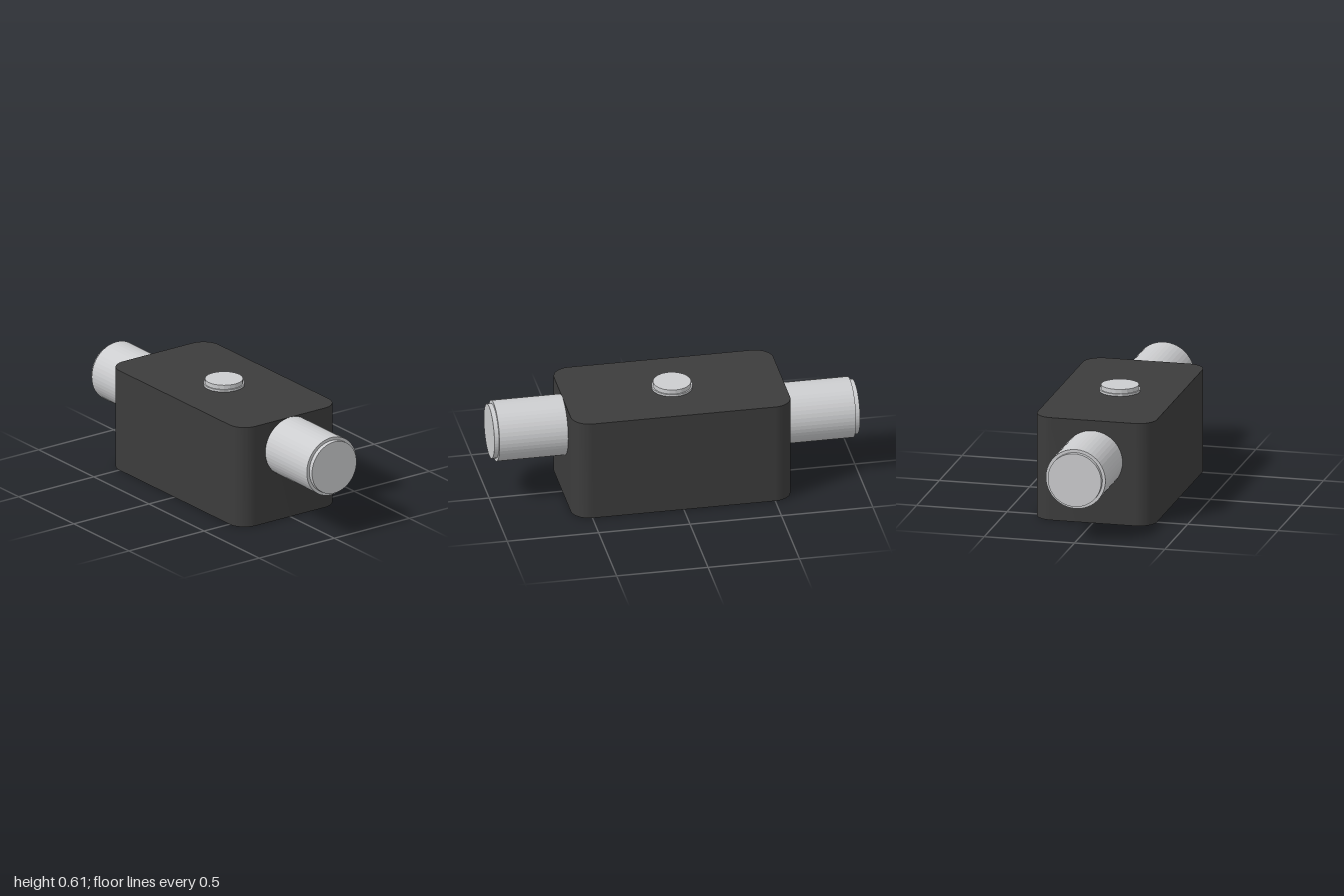
import * as THREE from 'three';
import { toCreasedNormals } from 'three/addons/utils/BufferGeometryUtils.js';

export function createModel() {
  const model = new THREE.Group();
  const dark = new THREE.MeshStandardMaterial({ color: 0x3c3c3c });
  dark.name = 'darkGrey';
  const silver = new THREE.MeshStandardMaterial({ color: 0xcccdcf, flatShading: true });
  silver.name = 'silver';

  // Housing: rounded rectangle footprint, extruded upward
  const W = 0.6, D = 0.33, R = 0.1, H = 0.572;
  const outline = new THREE.Shape();
  outline.absarc(W - R, D - R, R, 0, Math.PI / 2);
  outline.absarc(-W + R, D - R, R, Math.PI / 2, Math.PI);
  outline.absarc(-W + R, -D + R, R, Math.PI, Math.PI * 1.5);
  outline.absarc(W - R, -D + R, R, Math.PI * 1.5, Math.PI * 2);
  const bodyGeometry = new THREE.ExtrudeGeometry(outline, { depth: H, bevelEnabled: false, curveSegments: 10 });
  bodyGeometry.rotateX(-Math.PI / 2);
  const body = new THREE.Mesh(toCreasedNormals(bodyGeometry, 0.6), dark);
  body.name = 'housing';
  model.add(body);

  // Solid stepped disc stack: each step is [radius, bottom, top] along y
  function steppedCylinder(name, steps, sides) {
    const group = new THREE.Group();
    group.name = name;
    steps.forEach(([radius, bottom, top], i) => {
      const geometry = new THREE.CylinderGeometry(radius, radius, top - bottom, sides);
      geometry.translate(0, (bottom + top) / 2, 0);
      const mesh = new THREE.Mesh(geometry, silver);
      mesh.name = name + (i ? 'Tip' : 'Base');
      group.add(mesh);
    });
    model.add(group);
    return group;
  }

  // Side connectors, the left one set higher than the right
  for (const [name, side, y] of [['leftConnector', 1, 0.407], ['rightConnector', -1, 0.35]]) {
    const connector = steppedCylinder(name, [[0.165, 0.59, 0.975], [0.148, 0.975, 1]], 48);
    connector.rotation.z = -side * Math.PI / 2;
    connector.position.y = y;
  }

  // Button on the top face
  steppedCylinder('button', [[0.111, 0.565, 0.584], [0.103, 0.584, 0.608]], 20);

  return model;
}
